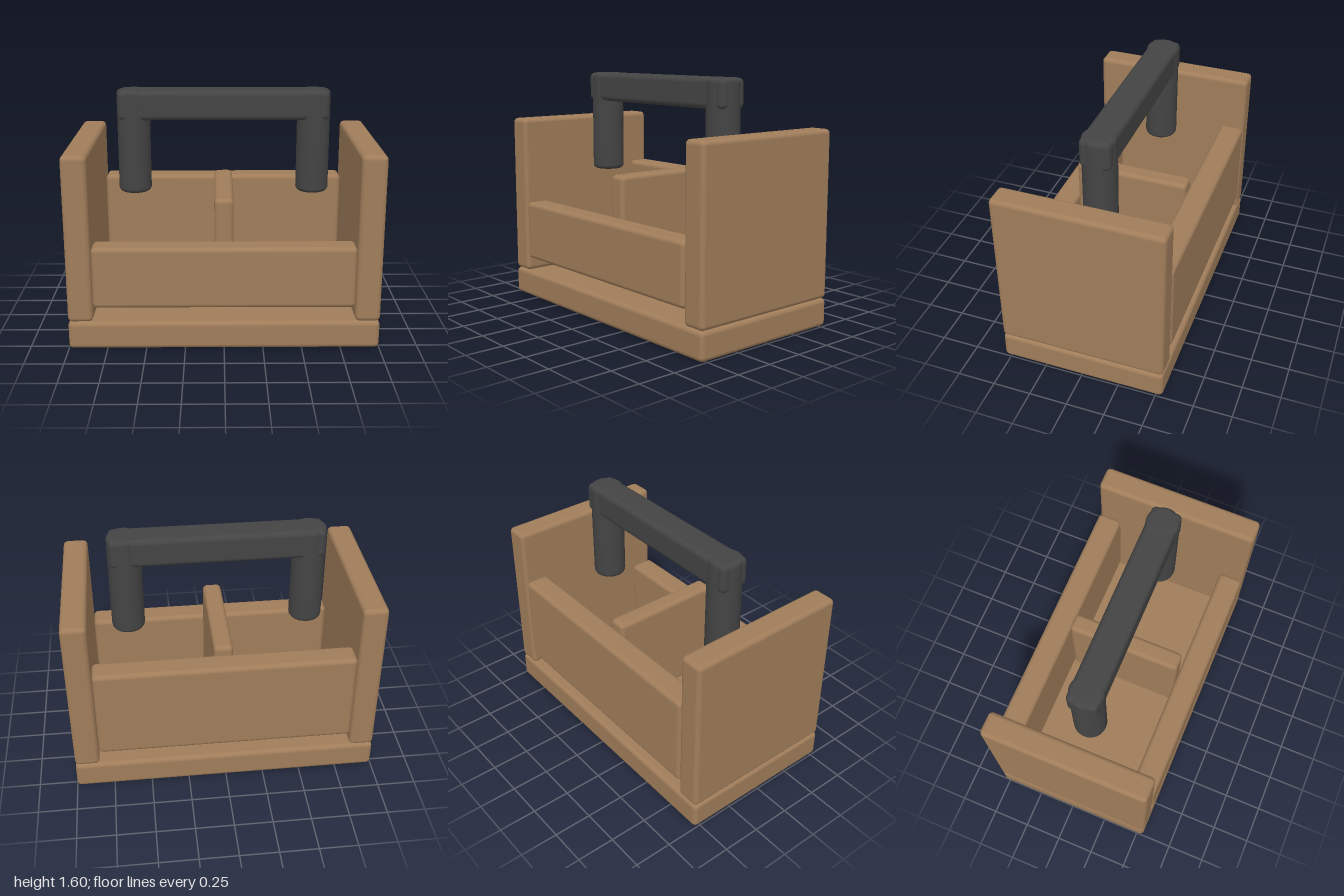
import * as THREE from 'three';
import { RoundedBoxGeometry } from 'three/addons/geometries/RoundedBoxGeometry.js';

export function createModel() {
  const group = new THREE.Group();
  const wood = new THREE.MeshStandardMaterial({ color: 0xa07d5a });
  wood.name = 'wood';
  const darkGrip = new THREE.MeshStandardMaterial({ color: 0x444444 });
  darkGrip.name = 'darkGrip';

  const add = (name, geometry, material, x, y, z) => {
    const mesh = new THREE.Mesh(geometry, material);
    mesh.name = name;
    mesh.position.set(x, y, z);
    group.add(mesh);
  };

  // Rounded block given by its extents on each axis
  const block = (name, material, [x0, x1], [y0, y1], [z0, z1], radius = 0.03) =>
    add(name, new RoundedBoxGeometry(x1 - x0, y1 - y0, z1 - z0, 3, radius), material,
      (x0 + x1) / 2, (y0 + y1) / 2, (z0 + z1) / 2);

  // Wooden tray
  block('base', wood, [-1, 1], [0, 0.185], [-0.545, 0.545]);
  block('leftSide', wood, [0.838, 1], [0.185, 1.275], [-0.545, 0.545]);
  block('rightSide', wood, [-1, -0.838], [0.185, 1.275], [-0.545, 0.545]);
  block('frontPanel', wood, [-0.837, 0.837], [0.28, 0.685], [0.382, 0.545]);
  block('backPanel', wood, [-0.837, 0.837], [0.28, 0.908], [-0.545, -0.382]);
  block('divider', wood, [-0.062, 0.062], [0.28, 0.955], [-0.382, 0.382]);

  // Handle posts: round bars with softened ends
  const radius = 0.108, height = 0.683, bevel = 0.03;
  const profile = [new THREE.Vector2(0, 0)];
  for (const [y, start] of [[bevel, -Math.PI / 2], [height - bevel, 0]]) {
    for (let i = 0; i <= 4; i++) {
      const a = start + (i / 4) * Math.PI / 2;
      profile.push(new THREE.Vector2(radius - bevel + bevel * Math.cos(a), y + bevel * Math.sin(a)));
    }
  }
  profile.push(new THREE.Vector2(0, height));
  for (const [name, side] of [['leftPost', 1], ['rightPost', -1]]) {
    add(name, new THREE.LatheGeometry(profile, 32), darkGrip, side * 0.59, 0.912, 0);
  }

  // Handle crossbar
  block('crossbar', darkGrip, [-0.685, 0.685], [1.4, 1.594], [-0.1, 0.1], 0.035);

  return group;
}
